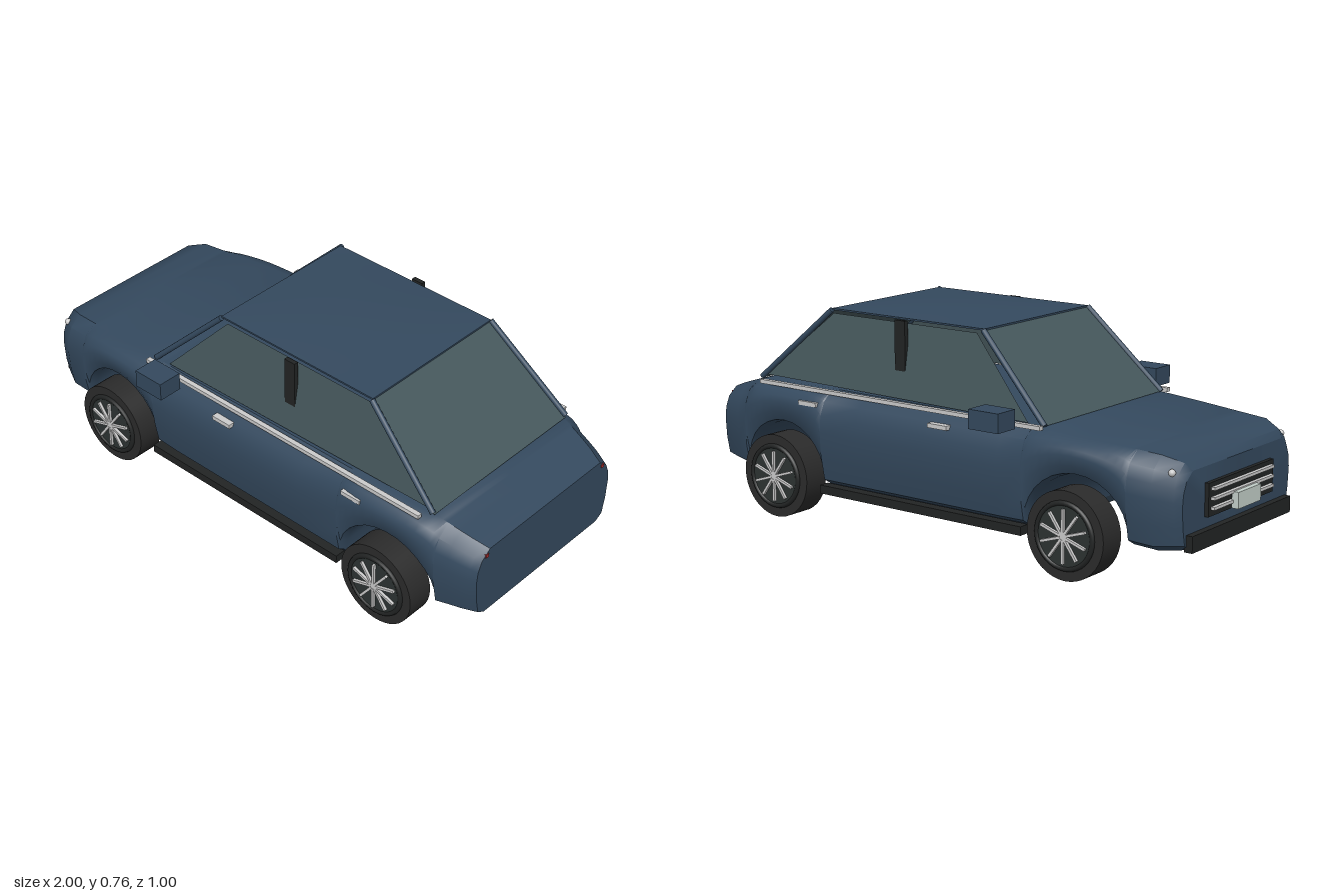
import * as THREE from 'three';
import { toCreasedNormals } from 'three/addons/utils/BufferGeometryUtils.js';

const mat = (color, side = THREE.FrontSide) => new THREE.MeshStandardMaterial({ color, side });
const WHEELS_X = [-0.59, 0.66];

// Linear interpolation through a list of [x, value] points
function along(points, x) {
  for (let i = 1; i < points.length; i++) {
    const [x0, v0] = points[i - 1], [x1, v1] = points[i];
    if (x <= x1) return v0 + (v1 - v0) * (x - x0) / (x1 - x0);
  }
  return points[points.length - 1][1];
}

// Lower body: cross-sections along x, with the wheel arches cut in the lower edge
function bodyGeometry() {
  const top = [[-0.955, 0.385], [-0.935, 0.41], [-0.87, 0.432], [-0.45, 0.463], [0, 0.47], [0.5, 0.474], [0.82, 0.464], [0.93, 0.43], [1, 0.404]];
  const width = [[-0.955, 0.33], [-0.935, 0.35], [-0.87, 0.385], [-0.6, 0.408], [-0.3, 0.42], [0.5, 0.42], [0.8, 0.405], [0.93, 0.372], [1, 0.345]];
  const low = [[-0.955, 0.135], [-0.78, 0.122], [-0.4, 0.135], [0.47, 0.135], [0.86, 0.138], [1, 0.148]];
  const stations = [-0.955, -0.935, -0.87, -0.3, 0, 0.3, 0.9, 0.94, 0.97, 0.995].map(x => [x, along(low, x)]);
  for (const c of WHEELS_X) {
    for (let i = 0; i <= 14; i++) {
      const a = Math.PI * i / 14;
      stations.push([c - 0.195 * Math.cos(a), 0.135 + 0.198 * Math.sin(a)]);
    }
  }
  stations.sort((a, b) => a[0] - b[0]);

  const half = [[0, 0], [0.86, 0], [0.95, 0.07], [0.985, 0.3], [1, 0.58], [0.985, 0.74], [0.94, 0.88], [0.83, 1], [0, 1]];
  const ring = [...half, ...half.slice(1, -1).reverse().map(([z, y]) => [-z, y])];
  const n = ring.length, pos = [], index = [];
  for (const [x, bottom] of stations) {
    const w = along(width, x), h = along(top, x) - bottom;
    for (const [z, y] of ring) pos.push(x, bottom + y * h, z * w);
  }
  const last = (stations.length - 1) * n;
  for (let i = 0; i < last; i += n) {
    for (let k = 0; k < n; k++) {
      const k2 = (k + 1) % n;
      index.push(i + k, i + n + k, i + n + k2, i + k, i + n + k2, i + k2);
    }
  }
  for (let k = 1; k < n - 1; k++) index.push(0, k, k + 1, last, last + k + 1, last + k);
  const g = new THREE.BufferGeometry();
  g.setAttribute('position', new THREE.Float32BufferAttribute(pos, 3));
  g.setIndex(index);
  return toCreasedNormals(g, 0.6);
}

// Flat four-cornered pane
function paneGeometry(corners) {
  const g = new THREE.BufferGeometry();
  g.setAttribute('position', new THREE.Float32BufferAttribute(corners.flat(), 3));
  g.setIndex([0, 1, 2, 0, 2, 3]);
  g.computeVertexNormals();
  return g;
}

export function createModel() {
  const car = new THREE.Group();
  car.name = 'car';
  const paint = mat(0x34495e), dark = mat(0x222424), rubber = mat(0x2b2b2b), metal = mat(0xcccccc);
  const under = mat(0x263442), glass = mat(0x46585c, THREE.DoubleSide), red = mat(0xb03030), rim = mat(0x2c3332);

  const add = (name, geometry, material, x = 0, y = 0, z = 0, parent = car) => {
    const m = new THREE.Mesh(geometry, material);
    m.name = name;
    m.position.set(x, y, z);
    parent.add(m);
    return m;
  };
  const box = (name, material, size, x, y, z, parent) => add(name, new THREE.BoxGeometry(...size), material, x, y, z, parent);
  const bar = (name, from, to, radius) => {
    const a = new THREE.Vector3(...from), b = new THREE.Vector3(...to);
    const m = add(name, new THREE.CylinderGeometry(radius, radius, a.distanceTo(b), 12), paint);
    m.position.copy(a).add(b).multiplyScalar(0.5);
    m.quaternion.setFromUnitVectors(new THREE.Vector3(0, 1, 0), b.sub(a).normalize());
  };

  add('body', bodyGeometry(), paint);
  box('floorPan', under, [0.86, 0.03, 0.74], 0.035, 0.127, 0);

  // Roof, crowned in both directions
  const roof = new THREE.BoxGeometry(0.67, 0.006, 0.59, 16, 1, 16);
  const p = roof.attributes.position;
  for (let i = 0; i < p.count; i++) {
    const u = p.getX(i) / 0.335, v = p.getZ(i) / 0.295;
    p.setY(i, p.getY(i) + 0.015 * (1 - u * u) * (1 - v * v));
  }
  roof.computeVertexNormals();
  add('roof', roof, paint, 0.175, 0.741, 0);

  // Windscreens
  add('windscreen', paneGeometry([[-0.44, 0.465, -0.34], [-0.44, 0.465, 0.34], [-0.155, 0.742, 0.292], [-0.155, 0.742, -0.292]]), glass);
  add('rearWindow', paneGeometry([[0.81, 0.468, 0.34], [0.81, 0.468, -0.34], [0.505, 0.742, -0.292], [0.505, 0.742, 0.292]]), glass);

  for (const s of [1, -1]) {
    // Side windows and pillars
    add('sideWindow', paneGeometry([[-0.375, 0.468, 0.343 * s], [0.79, 0.484, 0.34 * s], [0.5, 0.728, 0.296 * s], [-0.13, 0.728, 0.296 * s]]), glass);
    bar('frontPillar', [-0.44, 0.465, 0.342 * s], [-0.158, 0.739, 0.297 * s], 0.01);
    bar('rearPillar', [0.807, 0.474, 0.342 * s], [0.508, 0.739, 0.297 * s], 0.01);
    box('centrePillar', dark, [0.045, 0.19, 0.016], 0.178, 0.645, 0.317 * s);

    // Trim along the side
    box('beltTrim', metal, [1.23, 0.014, 0.018], 0.165, 0.466, 0.374 * s);
    box('sill', dark, [0.87, 0.03, 0.04], 0.035, 0.127, 0.397 * s);
    for (const x of [-0.055, 0.525]) box('doorHandle', metal, [0.08, 0.015, 0.024], x, 0.423, 0.405 * s);
    box('mirror', paint, [0.12, 0.065, 0.09], -0.313, 0.4925, 0.456 * s);

    // Lamps
    add('headlamp', new THREE.SphereGeometry(0.012, 12, 8), metal, -0.918, 0.385, 0.335 * s);
    box('tailLamp', red, [0.02, 0.012, 0.014], 0.988, 0.386, 0.302 * s);

    // Wheels
    for (const x of WHEELS_X) {
      const wheel = new THREE.Group();
      wheel.name = 'wheel';
      wheel.position.set(x, 0.15, 0.39 * s);
      if (s < 0) wheel.rotation.y = Math.PI;
      car.add(wheel);
      const disc = (name, r, depth, z, material) =>
        add(name, new THREE.CylinderGeometry(r, r, depth, 40).rotateX(Math.PI / 2), material, 0, 0, z, wheel);
      disc('tyre', 0.148, 0.098, 0, rubber);
      disc('rim', 0.1, 0.108, 0, rim);
      add('rimRing', new THREE.TorusGeometry(0.107, 0.009, 8, 40), dark, 0, 0, 0.05, wheel);
      disc('hub', 0.016, 0.018, 0.054, metal);
      for (let i = 0; i < 10; i++) {
        const a = i * Math.PI / 5 + Math.PI / 10;
        const spoke = box('spoke', metal, [0.08, 0.009, 0.012], 0.05 * Math.cos(a), 0.05 * Math.sin(a), 0.058, wheel);
        spoke.rotation.z = a;
      }
    }
  }

  // Nose: bumper, grille and number plate
  box('frontBumper', dark, [0.03, 0.055, 0.61], -0.963, 0.158, 0);
  box('grillePanel', dark, [0.018, 0.11, 0.4], -0.96, 0.277, 0);
  for (const y of [0.248, 0.28, 0.312]) box('grilleBar', metal, [0.016, 0.01, 0.37], -0.974, y, 0);
  box('numberPlate', mat(0xc4d0ca), [0.025, 0.055, 0.14], -0.9875, 0.253, 0);
  return car;
}
